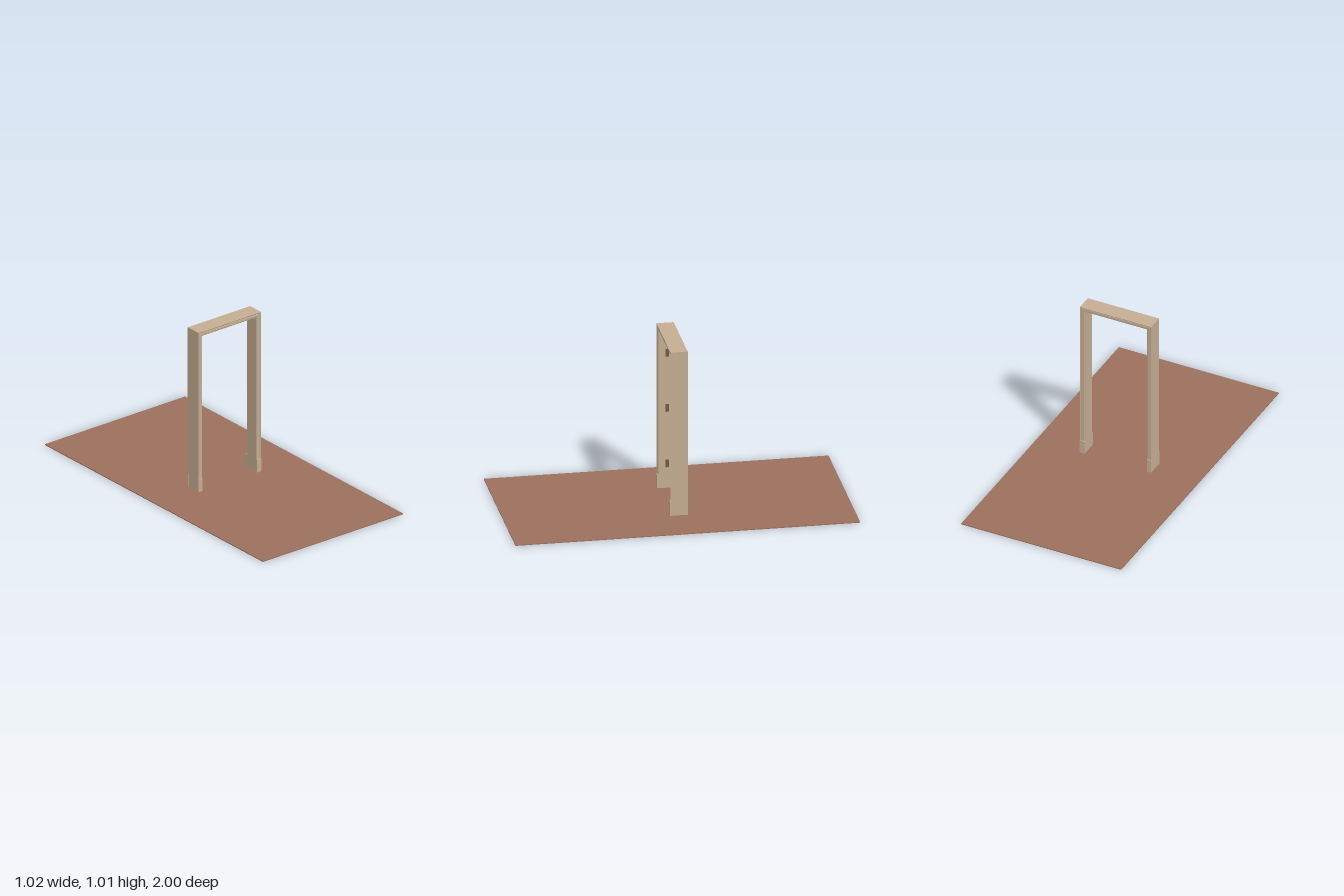
import * as THREE from 'three';

const wood = new THREE.MeshStandardMaterial({ color: 0xc4ad92 });
wood.name = 'tan wood';
const clay = new THREE.MeshStandardMaterial({ color: 0x9c6f5c });
clay.name = 'red brown floor';
const metal = new THREE.MeshStandardMaterial({ color: 0x6a5a50 });
metal.name = 'dark metal';

// Clear opening of the doorway
const LEFT = -0.194, RIGHT = 0.2, TOP = 0.979, FLOOR = 0.005;

function box(name, material, [x0, x1], [y0, y1], [z0, z1]) {
  const mesh = new THREE.Mesh(new THREE.BoxGeometry(x1 - x0, y1 - y0, z1 - z0), material);
  mesh.position.set((x0 + x1) / 2, (y0 + y1) / 2, (z0 + z1) / 2);
  mesh.name = name;
  return mesh;
}

// Sweeps a closed [outward offset, z] profile up one jamb, across the head and down the other
function sweepFrame(profile) {
  const rings = [
    o => [LEFT - o, FLOOR], o => [LEFT - o, TOP + o],
    o => [RIGHT + o, TOP + o], o => [RIGHT + o, FLOOR],
  ].map(corner => profile.map(([o, z]) => [...corner(o), z]));
  const pos = [];
  for (let j = 0; j < rings.length - 1; j++) {
    for (let k = 0; k < profile.length; k++) {
      const n = (k + 1) % profile.length;
      const a = rings[j][k], b = rings[j + 1][k], c = rings[j + 1][n], d = rings[j][n];
      pos.push(...a, ...b, ...c, ...a, ...c, ...d);
    }
  }
  const geometry = new THREE.BufferGeometry();
  geometry.setAttribute('position', new THREE.Float32BufferAttribute(pos, 3));
  geometry.computeVertexNormals();
  return geometry;
}

export function createModel() {
  const group = new THREE.Group();
  group.name = 'doorway';

  group.add(box('floor', clay, [-0.512, 0.512], [0, FLOOR], [-1, 1]));

  // Moulded casing, the same on the front and the back
  const front = [
    [0, 0.04], [0.005, 0.04], [0.005, 0.044], [0.008, 0.046],
    [0.02, 0.046], [0.023, 0.044], [0.029, 0.05], [0.031, 0.05],
  ];
  const back = front.map(([o, z]) => [o, -z]).reverse();
  const frame = new THREE.Mesh(sweepFrame([...front, ...back]), wood);
  frame.name = 'doorFrame';
  group.add(frame);

  // Plinth blocks at the foot of each jamb
  for (const [z0, z1] of [[0.04, 0.052], [-0.052, -0.04]]) {
    group.add(box('rightPlinth', wood, [-0.226, -0.199], [FLOOR, 0.087], [z0, z1]));
    group.add(box('leftPlinth', wood, [0.2, 0.232], [FLOOR, 0.087], [z0, z1]));
  }

  // Hinges: a leaf on the jamb, a knuckle and two end caps
  for (const y of [0.155, 0.497, 0.837]) {
    const hinge = new THREE.Group();
    hinge.name = 'hinge';
    hinge.add(box('hingeLeaf', metal, [LEFT - 0.001, LEFT + 0.002], [-0.023, 0.023], [-0.018, 0.002]));
    const knuckle = new THREE.Mesh(new THREE.CylinderGeometry(0.003, 0.003, 0.036, 10), metal);
    knuckle.name = 'hingeKnuckle';
    knuckle.position.set(LEFT + 0.004, 0, -0.004);
    hinge.add(knuckle);
    for (const s of [-1, 1]) {
      const cap = new THREE.Mesh(new THREE.CylinderGeometry(0.0024, 0.0024, 0.006, 10), metal);
      cap.name = 'hingeCap';
      cap.position.set(LEFT + 0.004, s * 0.021, -0.004);
      hinge.add(cap);
    }
    hinge.position.y = y;
    group.add(hinge);
  }
  return group;
}
